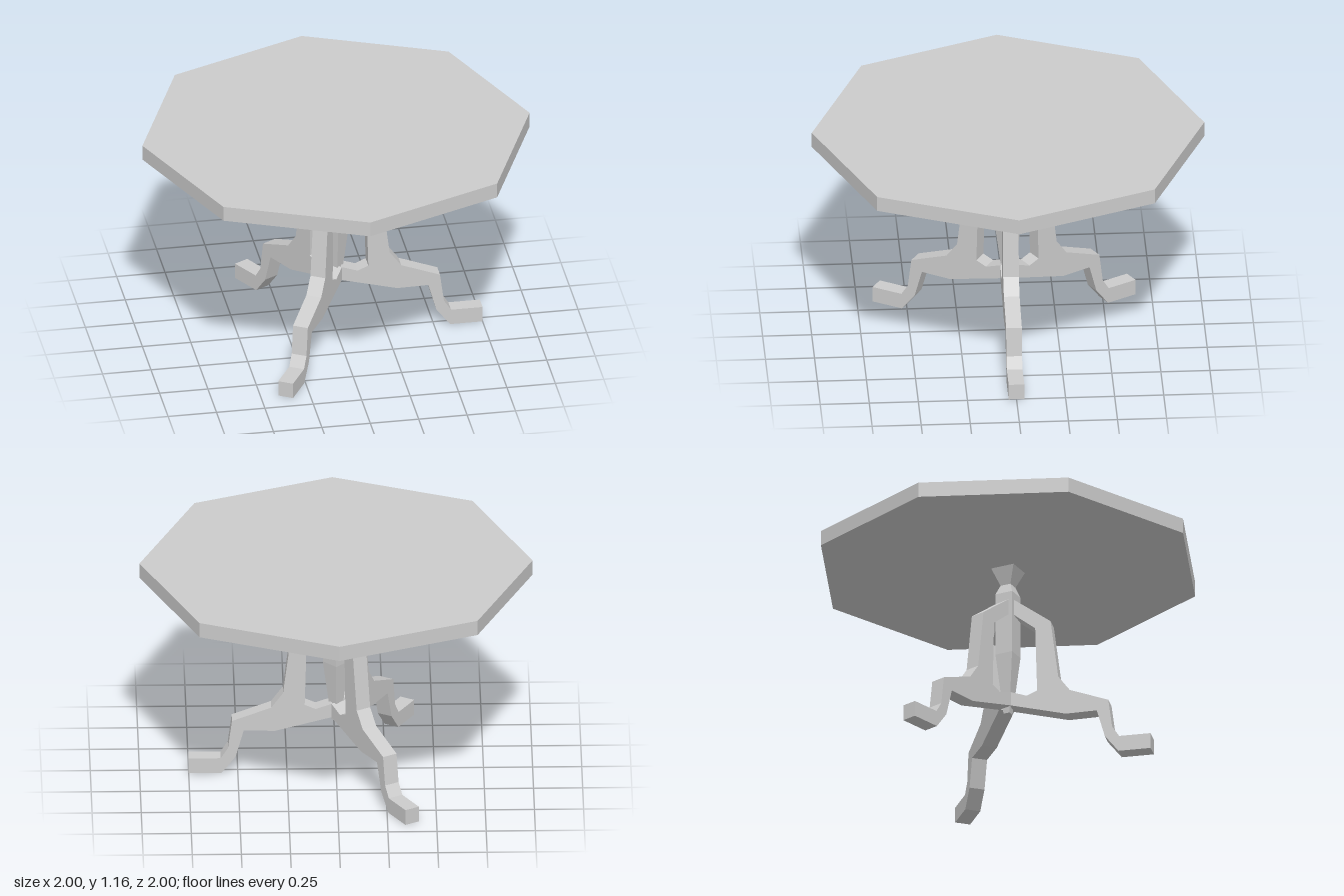
import * as THREE from 'three';

const material = new THREE.MeshStandardMaterial({ color: 0xcccccc, flatShading: true });

function addMesh(parent, name, geometry) {
  const mesh = new THREE.Mesh(geometry, material);
  mesh.name = name;
  parent.add(mesh);
  return mesh;
}

const points = (list) => list.map(([x, y]) => new THREE.Vector2(x, y));

// Side outline of one leg: outer edge down to the foot, then back along
// the underside and up the inner edge of the open bracket.
const LEG_OUTLINE = [
  [0.04, 0.9], [0.23, 0.762], [0.27, 0.447], [0.33, 0.366], [0.53, 0.292],
  [0.55, 0.14], [0.587, 0.083], [0.75, 0.083], [0.75, 0], [0.583, 0],
  [0.512, 0.09], [0.47, 0.238], [0.31, 0.235], [0.02, 0.31],
  [0.02, 0.385], [0.105, 0.356], [0.16, 0.38], [0.15, 0.73], [0.04, 0.815],
];
const LEG_THICKNESS = 0.08;

// Pedestal profile from the bottom tip to the flare under the top.
const COLUMN_PROFILE = [
  [0, 0.28], [0.024, 0.28], [0.067, 0.605], [0.067, 0.943],
  [0.04, 0.995], [0.09, 1.085], [0, 1.085],
];

export function createModel() {
  const table = new THREE.Group();
  table.name = 'pedestalTable';

  // Octagonal top
  const top = addMesh(table, 'tableTop', new THREE.CylinderGeometry(1, 1, 0.08, 8));
  top.position.y = 1.125;

  // Four-sided column
  addMesh(table, 'column', new THREE.LatheGeometry(points(COLUMN_PROFILE), 4));

  // Three legs, evenly spaced, the first along +x
  const legGeometry = new THREE.ExtrudeGeometry(new THREE.Shape(points(LEG_OUTLINE)), {
    depth: LEG_THICKNESS,
    bevelEnabled: false,
  });
  legGeometry.translate(0, 0, -LEG_THICKNESS / 2);
  for (let i = 0; i < 3; i++) {
    const leg = addMesh(table, `leg${i + 1}`, legGeometry);
    leg.rotation.y = (i * Math.PI * 2) / 3;
  }

  return table;
}
